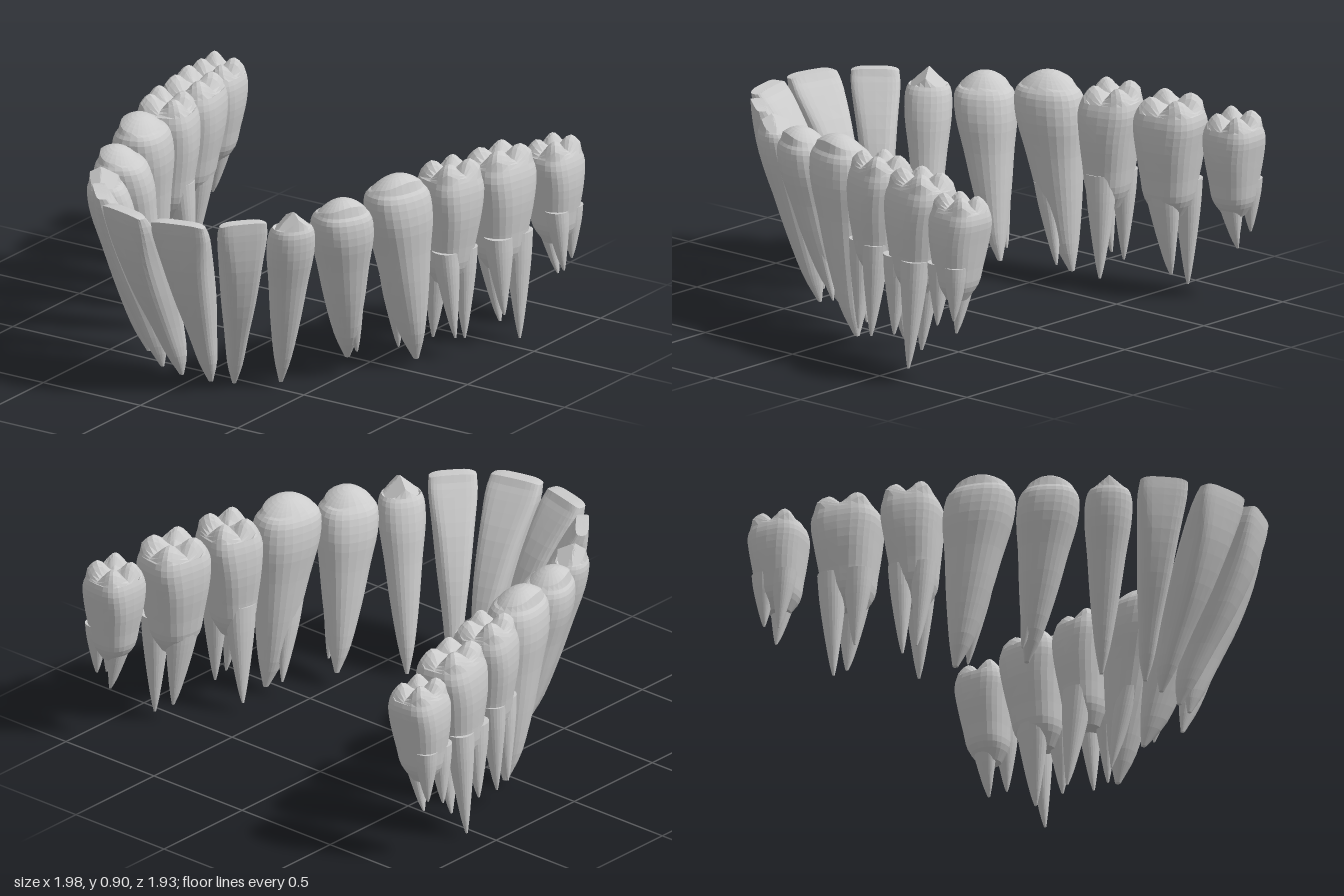
import * as THREE from 'three';

const SIDES = 24;
const CAP = [0.93, 0.82, 0.66, 0.48, 0.25, 0];

// Biting-surface relief over normalised crown coordinates (u along the arch, v outward)
const relief = {
  edge: (u) => 0.008 - 0.012 * Math.pow(Math.abs(u), 4),
  point: (u, v) => 0.06 - 0.07 * Math.abs(u) - 0.03 * Math.abs(v - 0.2),
  bicuspid: (u, v) => 0.05 - 0.05 * u * u - 0.035 * v * v + 0.015 * v,
  molar: (u, v) => 0.05 * Math.abs(Math.sin(Math.PI * u) * Math.sin(Math.PI * v))
    + 0.012 * v - 0.02 * Math.pow(Math.max(Math.abs(u), Math.abs(v)), 6),
  none: () => 0,
};

// Outlines from bottom to top: [height, width, depth] as fractions of the whole
const outline = {
  blade: [[0, 0.08, 0.1], [0.12, 0.3, 0.5], [0.3, 0.45, 0.78], [0.51, 0.65, 1], [0.73, 0.83, 0.94], [0.91, 1, 0.6], [1, 0.98, 0.33]],
  bulb: [[0, 0.08, 0.09], [0.16, 0.35, 0.48], [0.4, 0.62, 0.73], [0.63, 0.82, 0.88], [0.81, 1, 1], [0.94, 0.99, 0.9], [1, 0.77, 0.64]],
  block: [[0, 0.4, 0.38], [0.16, 0.7, 0.75], [0.36, 0.8, 0.87], [0.63, 0.92, 1], [0.85, 1, 0.97], [1, 0.87, 0.8]],
  spike: [[0, 0.08, 0.08], [0.15, 0.3, 0.3], [0.45, 0.62, 0.62], [0.75, 0.88, 0.88], [1, 1, 1]],
};

// Teeth with one main root: bow bends the axis, split shifts a second root tip sideways
const SINGLE = [
  { name: 'centralIncisor', yaw: 14, tip: [0.075, 0, 0.58], top: [0.14, 0.825, 0.92], w: 0.245, d: 0.18, square: 4, bow: 1.15, shape: 'blade', face: 'edge' },
  { name: 'lateralIncisor', yaw: 50, tip: [0.185, 0.01, 0.565], top: [0.368, 0.825, 0.765], w: 0.21, d: 0.17, square: 4, bow: 1.15, shape: 'blade', face: 'edge' },
  { name: 'canine', yaw: 60, tip: [0.34, 0.01, 0.44], top: [0.485, 0.79, 0.565], w: 0.2, d: 0.19, square: 2.2, bow: 1, shape: 'bulb', face: 'point' },
  { name: 'firstPremolar', yaw: 66, tip: [0.49, 0.07, 0.16], top: [0.572, 0.805, 0.325], w: 0.26, d: 0.25, square: 2.4, bow: 0.8, shape: 'bulb', face: 'bicuspid', split: 0.06 },
  { name: 'secondPremolar', yaw: 77, tip: [0.68, 0.03, -0.08], top: [0.655, 0.845, 0.037], w: 0.3, d: 0.25, square: 2.4, bow: 0.8, shape: 'bulb', face: 'bicuspid', split: -0.08 },
];

// Molars: base is where the roots part; tips are front outer, rear outer and inner
const MOLARS = [
  { name: 'firstMolar', yaw: 75, base: [0.72, 0.34, -0.25], top: [0.73, 0.835, -0.265], w: 0.26, d: 0.27,
    tips: [[0.8, 0.11, -0.2], [0.8, 0.09, -0.27], [0.62, 0.05, -0.295]] },
  { name: 'secondMolar', yaw: 80, base: [0.8, 0.34, -0.53], top: [0.787, 0.825, -0.55], w: 0.3, d: 0.27,
    tips: [[0.87, 0.15, -0.465], [0.885, 0.02, -0.56], [0.79, 0.08, -0.55]] },
  { name: 'thirdMolar', yaw: 86, base: [0.88, 0.38, -0.83], top: [0.864, 0.79, -0.843], w: 0.245, d: 0.24,
    tips: [[0.955, 0.27, -0.79], [0.94, 0.3, -0.87], [0.89, 0.23, -0.84]] },
];
// Where each molar root leaves the neck, in fractions of width and depth
const ROOT_SEATS = [[-0.2, 0.2], [0.2, 0.2], [0, -0.22]];

const sgnPow = (c, p) => Math.sign(c) * Math.pow(Math.abs(c), p);

// Loft an outline along the axis from low to high; side mirrors in x
function loft({ low, high, w, d, yaw, side, shape, square = 2.2, bow = 1, face = 'none' }) {
  const a = new THREE.Vector3(...low), b = new THREE.Vector3(...high);
  const keys = outline[shape];
  const path = new THREE.CatmullRomCurve3(keys.map(([t]) => {
    const p = a.clone().lerp(b, Math.pow(t, bow));
    p.y = a.y + (b.y - a.y) * t;
    return p;
  }), false, 'catmullrom', 0.5);
  const size = new THREE.CatmullRomCurve3(keys.map(([t, kw, kd]) =>
    new THREE.Vector3(kw * w, kd * d, 2.2 + (square - 2.2) * t)), false, 'catmullrom', 0.5);
  const sin = Math.sin(yaw), cos = Math.cos(yaw);
  const pos = [], idx = [];
  const ring = (t, r, height) => {
    const c = path.getPoint(t), s = size.getPoint(t);
    for (let j = 0; j < SIDES; j++) {
      const ang = (j / SIDES) * Math.PI * 2;
      const u = sgnPow(Math.cos(ang), 2 / s.z) * r, v = sgnPow(Math.sin(ang), 2 / s.z) * r;
      const pu = u * s.x / 2, pv = v * s.y / 2;
      pos.push(side * (c.x + pu * cos + pv * sin), c.y + height(u, v), c.z - pu * sin + pv * cos);
    }
  };
  const n = (keys.length - 1) * 3;
  ring(0, 0, relief.none);
  for (let i = 0; i < n; i++) ring(i / n, 1, relief.none);
  for (const r of [1, ...CAP]) ring(1, r, relief[face]);
  const rows = pos.length / 3 / SIDES;
  for (let i = 0; i < rows - 1; i++) {
    for (let j = 0; j < SIDES; j++) {
      const p = i * SIDES + j, q = i * SIDES + (j + 1) % SIDES;
      const r = p + SIDES, s = q + SIDES;
      if (side > 0) idx.push(p, r, q, q, r, s);
      else idx.push(p, q, r, q, s, r);
    }
  }
  const g = new THREE.BufferGeometry();
  g.setAttribute('position', new THREE.Float32BufferAttribute(pos, 3));
  g.setIndex(idx);
  g.computeVertexNormals();
  return g;
}

export function createModel() {
  const model = new THREE.Group();
  model.name = 'lowerTeeth';
  const mat = new THREE.MeshStandardMaterial({ color: 0xcccccc, flatShading: true });
  const addPart = (tooth, name, spec) => {
    const mesh = new THREE.Mesh(loft(spec), mat);
    mesh.name = name;
    tooth.add(mesh);
  };
  const addTooth = (name, side) => {
    const tooth = new THREE.Group();
    tooth.name = (side > 0 ? 'left ' : 'right ') + name;
    model.add(tooth);
    return tooth;
  };

  for (const side of [1, -1]) {
    // Incisors, canines and premolars: crown and main root in one sweep
    for (const t of SINGLE) {
      const tooth = addTooth(t.name, side);
      const yaw = THREE.MathUtils.degToRad(t.yaw);
      addPart(tooth, 'crownAndRoot', { ...t, low: t.tip, high: t.top, yaw, side });
      if (t.split) {
        const [x, y, z] = t.tip;
        addPart(tooth, 'secondRoot', {
          low: [x + t.split, y + 0.04, z + 0.015],
          high: [(x + t.top[0]) / 2 + t.split * 0.6, 0.42, z + 0.09],
          w: 0.11, d: 0.1, yaw, side, shape: 'spike',
        });
      }
    }
    // Molars: blocky crown on three separate roots
    for (const t of MOLARS) {
      const tooth = addTooth(t.name, side);
      const yaw = THREE.MathUtils.degToRad(t.yaw);
      const sin = Math.sin(yaw), cos = Math.cos(yaw);
      addPart(tooth, 'crown', { ...t, low: t.base, high: t.top, yaw, side, square: 3.2, shape: 'block', face: 'molar' });
      t.tips.forEach((tip, i) => {
        const u = ROOT_SEATS[i][0] * t.w, v = ROOT_SEATS[i][1] * t.d;
        const [x, y, z] = t.base;
        addPart(tooth, 'root', {
          low: tip, high: [x + u * cos + v * sin, y + 0.16, z - u * sin + v * cos],
          w: t.w * (i === 2 ? 0.54 : 0.42), d: t.d * 0.44, yaw, side, shape: 'spike', bow: 0.85,
        });
      });
    }
  }
  return model;
}
